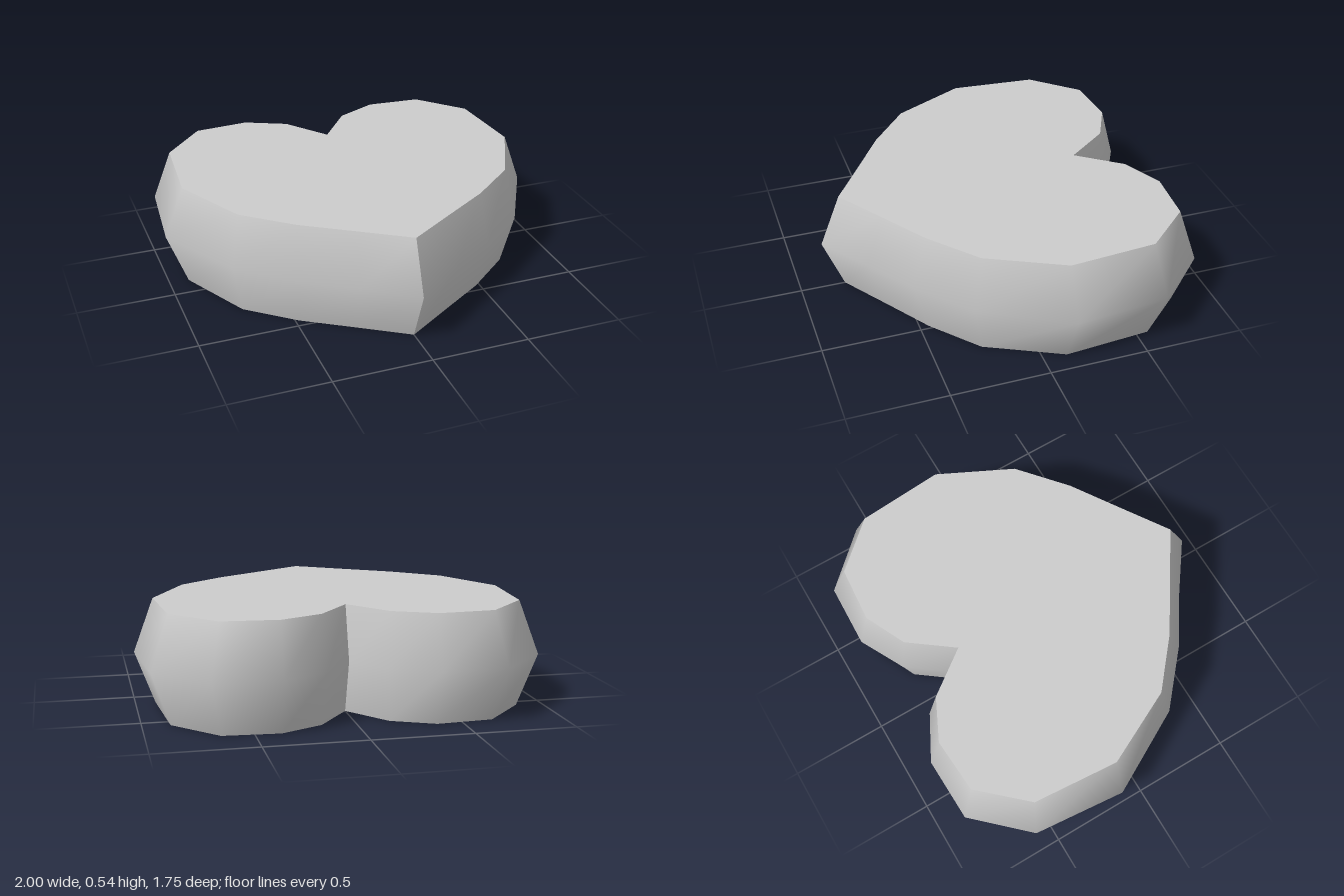
import * as THREE from 'three';
import { toCreasedNormals } from 'three/addons/utils/BufferGeometryUtils.js';

// Half outlines [x, z] from the front tip round the +x lobe to the rear notch
const RIM = [[0, 0.875], [0.25, 0.695], [0.5, 0.53], [0.765, 0.3], [1, -0.13],
  [0.955, -0.605], [0.705, -0.87], [0.375, -0.88], [0.145, -0.76], [0, -0.57]];
const FACE = [[0, 0.77], [0.235, 0.615], [0.48, 0.455], [0.715, 0.255], [0.9, -0.12],
  [0.865, -0.56], [0.655, -0.79], [0.375, -0.81], [0.165, -0.71], [0, -0.49]];
const HEIGHT = 0.535;

// Mirror a half outline into a closed loop
const mirror = (half) => [...half, ...half.slice(1, -1).reverse().map(([x, z]) => [-x, z])];

function heartGeometry() {
  const face = mirror(FACE);
  const n = face.length;
  const rings = [[face, 0], [mirror(RIM), HEIGHT / 2], [face, HEIGHT]];
  const positions = rings.flatMap(([loop, y]) => loop.flatMap(([x, z]) => [x, y, z]));
  const index = [];

  // Bulging side wall: two bands meeting at the widest ring
  for (let r = 0; r < 2; r++) {
    for (let i = 0; i < n; i++) {
      const a = r * n + i, b = r * n + (i + 1) % n;
      index.push(a, b, b + n, a, b + n, a + n);
    }
  }

  // Flat top and bottom
  const contour = face.map(([x, z]) => new THREE.Vector2(x, -z));
  for (const [a, b, c] of THREE.ShapeUtils.triangulateShape(contour, [])) {
    index.push(2 * n + a, 2 * n + b, 2 * n + c, a, c, b);
  }

  const geometry = new THREE.BufferGeometry();
  geometry.setAttribute('position', new THREE.Float32BufferAttribute(positions, 3));
  geometry.setIndex(index);
  // Smooth round the wall, sharp at the caps, tip and notch
  return toCreasedNormals(geometry, THREE.MathUtils.degToRad(58));
}

export function createModel() {
  const lightGrey = new THREE.MeshStandardMaterial({ color: 0xcccccc });
  lightGrey.name = 'light grey';

  const heart = new THREE.Mesh(heartGeometry(), lightGrey);
  heart.name = 'heart';

  const model = new THREE.Group();
  model.name = 'heartModel';
  model.add(heart);
  return model;
}
